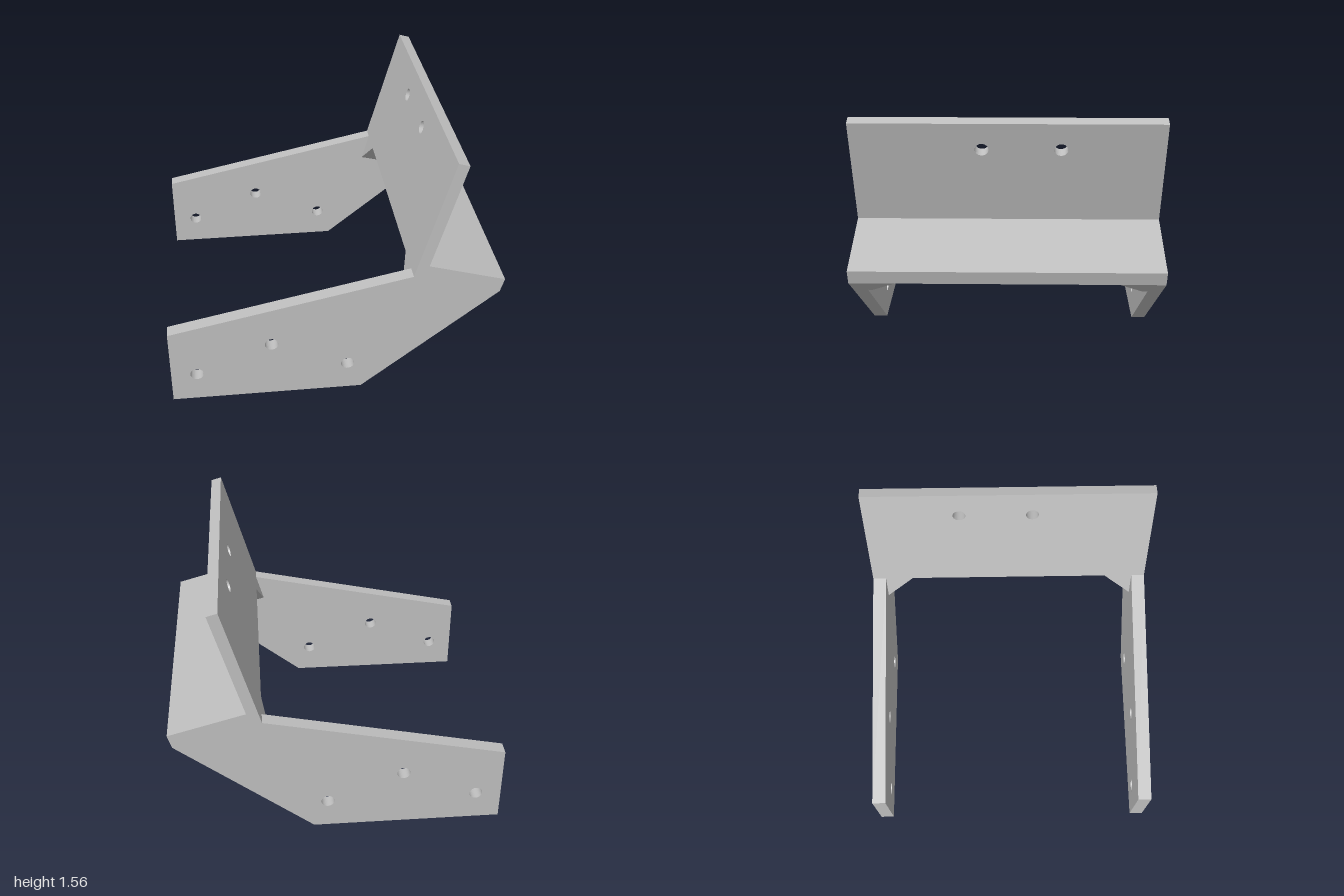
import * as THREE from 'three';
import { ConvexGeometry } from 'three/addons/geometries/ConvexGeometry.js';

const HALF = 0.905;    // half the width along z
const INNER = 0.82;    // inner face of each side plate
const HOLE = 0.04;     // bolt hole radius

// Flat plate from an outline with round bolt holes
function plate(outline, holes, depth) {
  const shape = new THREE.Shape(outline.map(([x, y]) => new THREE.Vector2(x, y)));
  for (const [x, y] of holes) {
    const hole = new THREE.Path();
    hole.absarc(x, y, HOLE, 0, Math.PI * 2, true);
    shape.holes.push(hole);
  }
  return new THREE.ExtrudeGeometry(shape, { depth, bevelEnabled: false, curveSegments: 32 });
}

export function createModel() {
  const model = new THREE.Group();
  model.name = 'bracket';
  const steel = new THREE.MeshStandardMaterial({ color: 0xbfbfbf });
  steel.name = 'plain grey steel';

  const add = (parent, name, geometry) => {
    const mesh = new THREE.Mesh(geometry, steel);
    mesh.name = name;
    parent.add(mesh);
    return mesh;
  };

  // Side plates with three bolt holes each
  const side = plate(
    [[-1, 0], [0.155, 0], [0.974, 0.664], [0.45, 0.812], [-1, 0.5]],
    [[-0.845, 0.19], [-0.39, 0.38], [0.07, 0.19]],
    HALF - INNER
  );
  add(model, 'leftSidePlate', side).position.z = INNER;
  add(model, 'rightSidePlate', side).position.z = -HALF;

  // Angle section: tilted shelf and upright sharing one corner
  const angle = new THREE.Group();
  angle.name = 'angleSection';
  angle.position.set(0.45, 0.812, 0);
  angle.rotation.z = -0.2754;
  model.add(angle);

  add(angle, 'shelf', new THREE.BoxGeometry(0.545, 0.09, 2 * HALF)).position.set(0.2725, 0.045, 0);

  const upright = plate(
    [[-HALF, 0.09], [HALF, 0.09], [HALF, 0.773], [-HALF, 0.773]],
    [[-0.15, 0.597], [0.305, 0.597]],
    0.067
  );
  upright.rotateY(Math.PI / 2);
  add(angle, 'upright', upright);

  // Corner gussets under the shelf, trimmed along the lower edge of the plates
  for (const [name, s] of [['leftGusset', 1], ['rightGusset', -1]]) {
    const corners = [
      [0.45, 0.812, 0.64], [0.45, 0.812, INNER],
      [0.974, 0.664, 0.64], [0.974, 0.664, INNER],
      [0.401, 0.639, INNER], [0.833, 0.549, 0.79], [0.833, 0.549, INNER],
    ].map(([x, y, z]) => new THREE.Vector3(x, y, z * s));
    add(model, name, new ConvexGeometry(corners));
  }

  return model;
}
